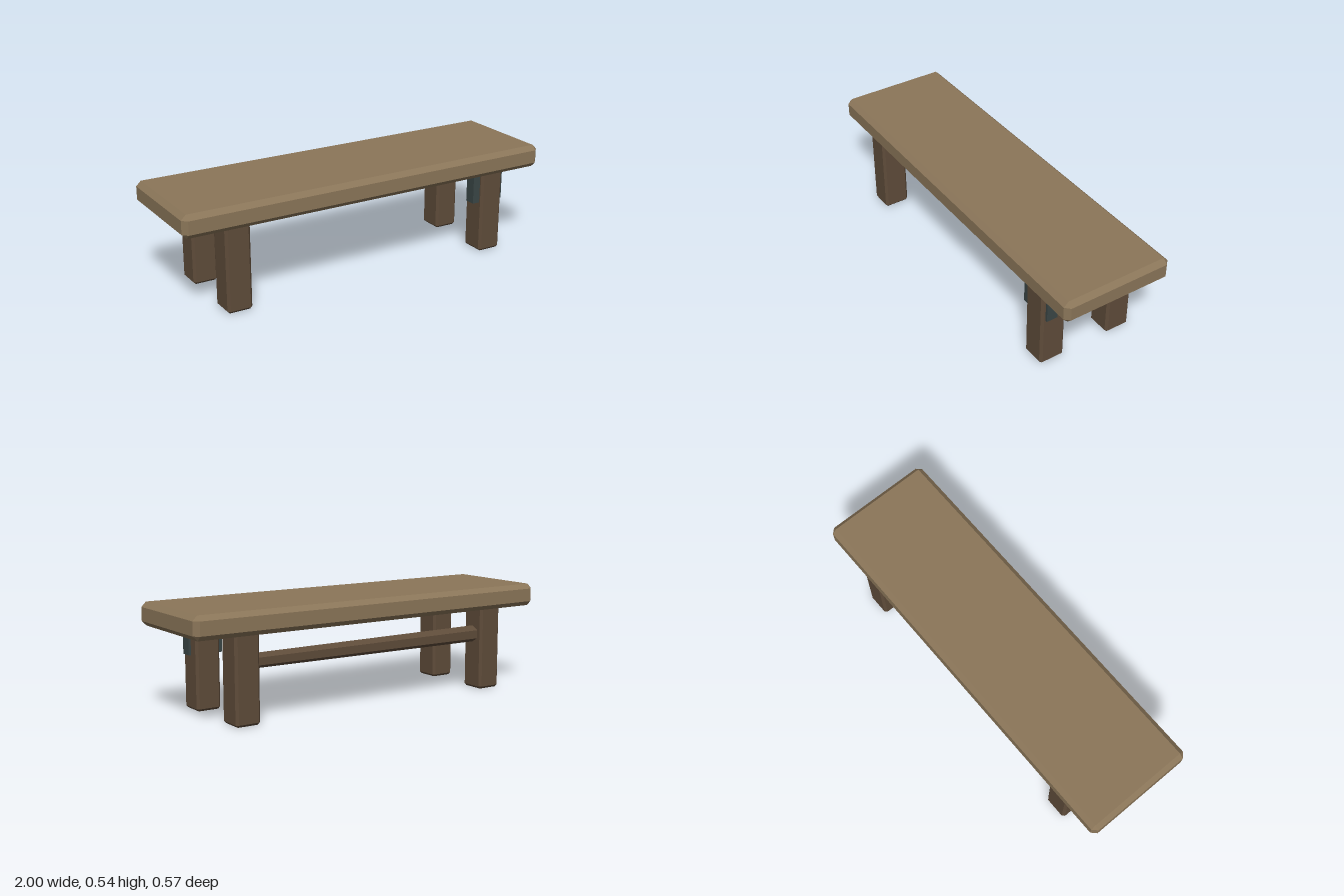
import * as THREE from 'three';
import { ConvexGeometry } from 'three/addons/geometries/ConvexGeometry.js';

const material = (color) => new THREE.MeshStandardMaterial({ color, flatShading: true });

// Box with every edge and corner chamfered by c
function chamferedBox(w, h, d, c) {
  const points = [];
  for (const sx of [-1, 1]) for (const sy of [-1, 1]) for (const sz of [-1, 1]) {
    for (let axis = 0; axis < 3; axis++) {
      const inset = [c, c, c];
      inset[axis] = 0;
      points.push(new THREE.Vector3(
        sx * (w / 2 - inset[0]), sy * (h / 2 - inset[1]), sz * (d / 2 - inset[2])));
    }
  }
  return new ConvexGeometry(points);
}

export function createModel() {
  const group = new THREE.Group();
  const add = (name, geometry, mat, x, y, z) => {
    const mesh = new THREE.Mesh(geometry, mat);
    mesh.name = name;
    mesh.position.set(x, y, z);
    group.add(mesh);
    return mesh;
  };

  const seatWood = material(0x8b7659);
  const legWood = material(0x5f4c3a);
  const metal = material(0x3a4646);

  // Thick plank seat
  add('seat', chamferedBox(2, 0.115, 0.573, 0.024), seatWood, 0, 0.4775, 0);

  // Four square legs, tops sunk into the seat
  const legHeight = 0.446;
  const legGeometry = chamferedBox(0.128, legHeight, 0.133, 0.012);
  for (const [side, sx] of [['Left', 1], ['Right', -1]]) {
    for (const [end, sz] of [['front', 1], ['back', -1]]) {
      add(`${end}${side}Leg`, legGeometry, legWood, sx * 0.724, legHeight / 2, sz * 0.1915);
    }
  }

  // Tapered six-sided stretcher between the back legs, ridge upward
  const barGeometry = new THREE.CylinderGeometry(0.043, 0.036, 1.44, 6, 1, false, Math.PI / 2);
  barGeometry.rotateZ(Math.PI / 2);
  add('backStretcher', barGeometry, legWood, 0, 0.288, -0.1915);

  // Repair plate set through the front left leg
  add('repairPlate', new THREE.BoxGeometry(0.18, 0.17, 0.057), metal, 0.71, 0.354, 0.2105);

  return group;
}
